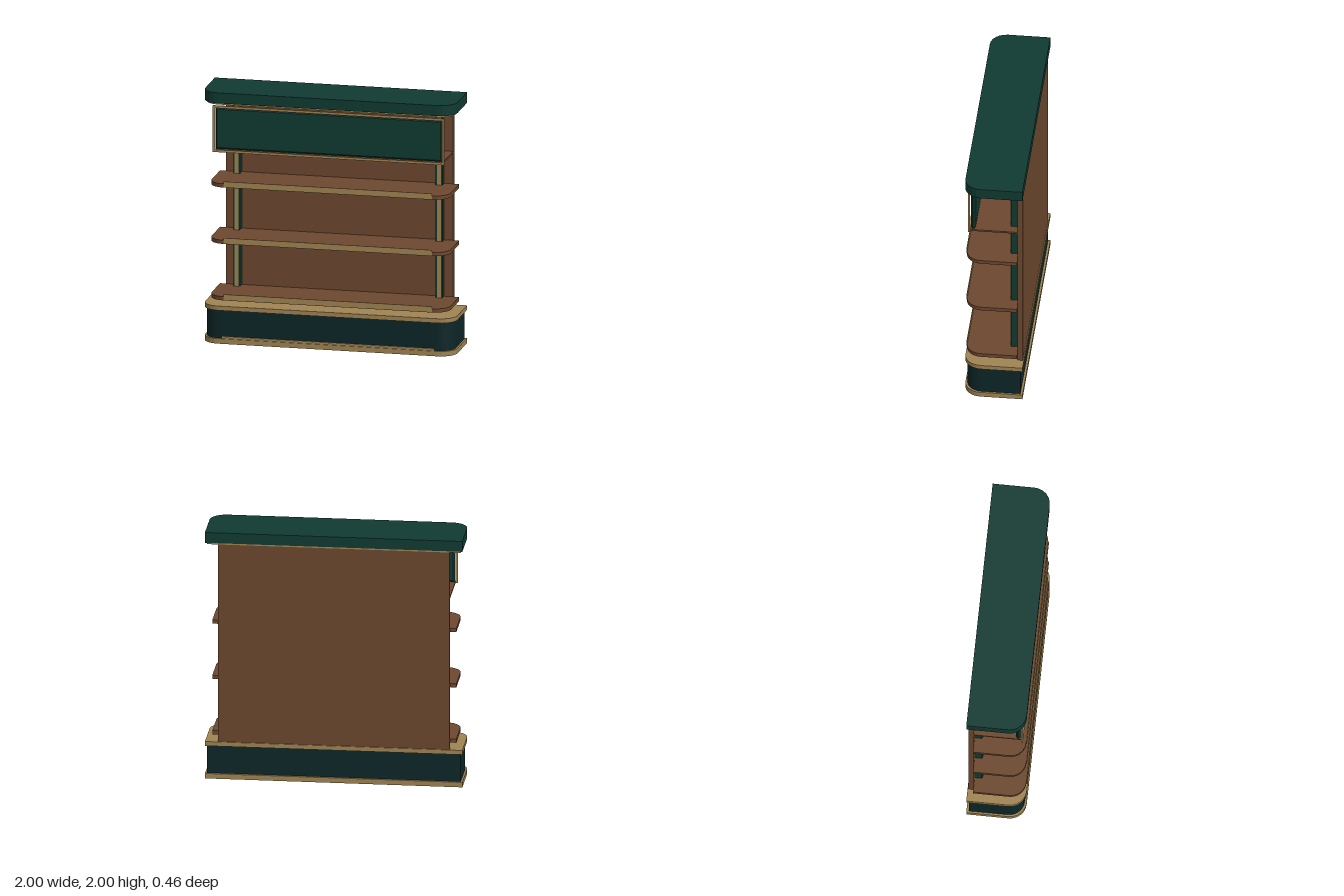
import * as THREE from 'three';

const mat = (name, color) => Object.assign(new THREE.MeshStandardMaterial({ color }), { name });

export function createModel() {
  const green = mat('deep green', 0x103b32);
  const dark = mat('dark teal', 0x0d2628);
  const wood = mat('brown wood', 0x6d482f);
  const brass = mat('brass', 0xa08452);

  const model = new THREE.Group();
  model.name = 'displayShelf';

  const add = (name, geometry, material) => {
    const mesh = new THREE.Mesh(geometry, material);
    mesh.name = name;
    model.add(mesh);
    return mesh;
  };

  // Box given by its lower and upper limits
  const box = (name, material, x0, x1, y0, y1, z0, z1) => {
    const mesh = add(name, new THREE.BoxGeometry(x1 - x0, y1 - y0, z1 - z0), material);
    mesh.position.set((x0 + x1) / 2, (y0 + y1) / 2, (z0 + z1) / 2);
    return mesh;
  };

  // Horizontal slab with square back corners and rounded front corners
  const slab = (name, material, halfWidth, back, front, y0, y1, r) => {
    const s = new THREE.Shape();
    s.moveTo(-halfWidth, -back);
    s.lineTo(-halfWidth, -front + r);
    s.absarc(-halfWidth + r, -front + r, r, Math.PI, Math.PI * 1.5, false);
    s.lineTo(halfWidth - r, -front);
    s.absarc(halfWidth - r, -front + r, r, Math.PI * 1.5, Math.PI * 2, false);
    s.lineTo(halfWidth, -back);
    s.closePath();
    const g = new THREE.ExtrudeGeometry(s, { depth: y1 - y0, bevelEnabled: false, curveSegments: 3 });
    g.rotateX(-Math.PI / 2).translate(0, y0, 0);
    return add(name, g, material);
  };

  const rect = (T, w, y0, y1) => {
    const p = new T();
    p.moveTo(-w, y0);
    p.lineTo(w, y0);
    p.lineTo(w, y1);
    p.lineTo(-w, y1);
    p.closePath();
    return p;
  };

  // Base with brass mouldings
  slab('basePlinth', brass, 1, -0.228, 0.228, 0, 0.04, 0.13);
  slab('baseBody', dark, 0.985, -0.21, 0.212, 0.04, 0.265, 0.12);
  slab('baseTop', brass, 1, -0.228, 0.228, 0.265, 0.3, 0.13);
  box('baseStrip', brass, -0.84, 0.84, 0.04, 0.056, 0.21, 0.22);

  // Back panel and pilasters with brass fronts
  box('backPanel', wood, -0.9, 0.9, 0.3, 1.906, -0.22, -0.18);
  for (const side of [-1, 1]) {
    const x = side * 0.802;
    box('pilaster', green, x - 0.027, x + 0.027, 0.3, 1.906, -0.18, -0.122);
    box('pilasterStrip', brass, x - 0.015, x + 0.015, 0.3, 1.906, -0.122, -0.116);
  }

  // Shelves with a front lip and a thin strip underneath
  for (const y of [0.345, 0.795, 1.245]) {
    slab('shelf', wood, 0.948, -0.18, 0.22, y, y + 0.03, 0.12);
    box('shelfLip', brass, -0.825, 0.825, y + 0.003, y + 0.049, 0.218, 0.226);
    box('shelfUnderStrip', brass, -0.825, 0.825, y - 0.007, y, 0.155, 0.163);
  }

  // Sign: narrow ledge, chamfered panel and open frame
  box('signLedge', wood, -0.9, 0.9, 1.52, 1.534, -0.18, 0.192);
  box('signUnderStrip', brass, -0.825, 0.825, 1.513, 1.52, 0.15, 0.158);
  const panel = new THREE.ExtrudeGeometry(rect(THREE.Shape, 0.885, 1.553, 1.857), {
    depth: 0.012, bevelThickness: 0.013, bevelSize: 0.013, bevelSegments: 1,
  });
  add('signPanel', panel.translate(0, 0, 0.16), green);
  const frame = rect(THREE.Shape, 0.918, 1.52, 1.89);
  frame.holes.push(rect(THREE.Path, 0.899, 1.539, 1.871));
  add('signFrame', new THREE.ExtrudeGeometry(frame, { depth: 0.013, bevelEnabled: false })
    .translate(0, 0, 0.19), brass);

  // Canopy
  slab('canopyTrim', brass, 0.985, -0.222, 0.217, 1.904, 1.916, 0.12);
  slab('canopy', green, 1, -0.228, 0.228, 1.916, 2, 0.13);

  return model;
}
